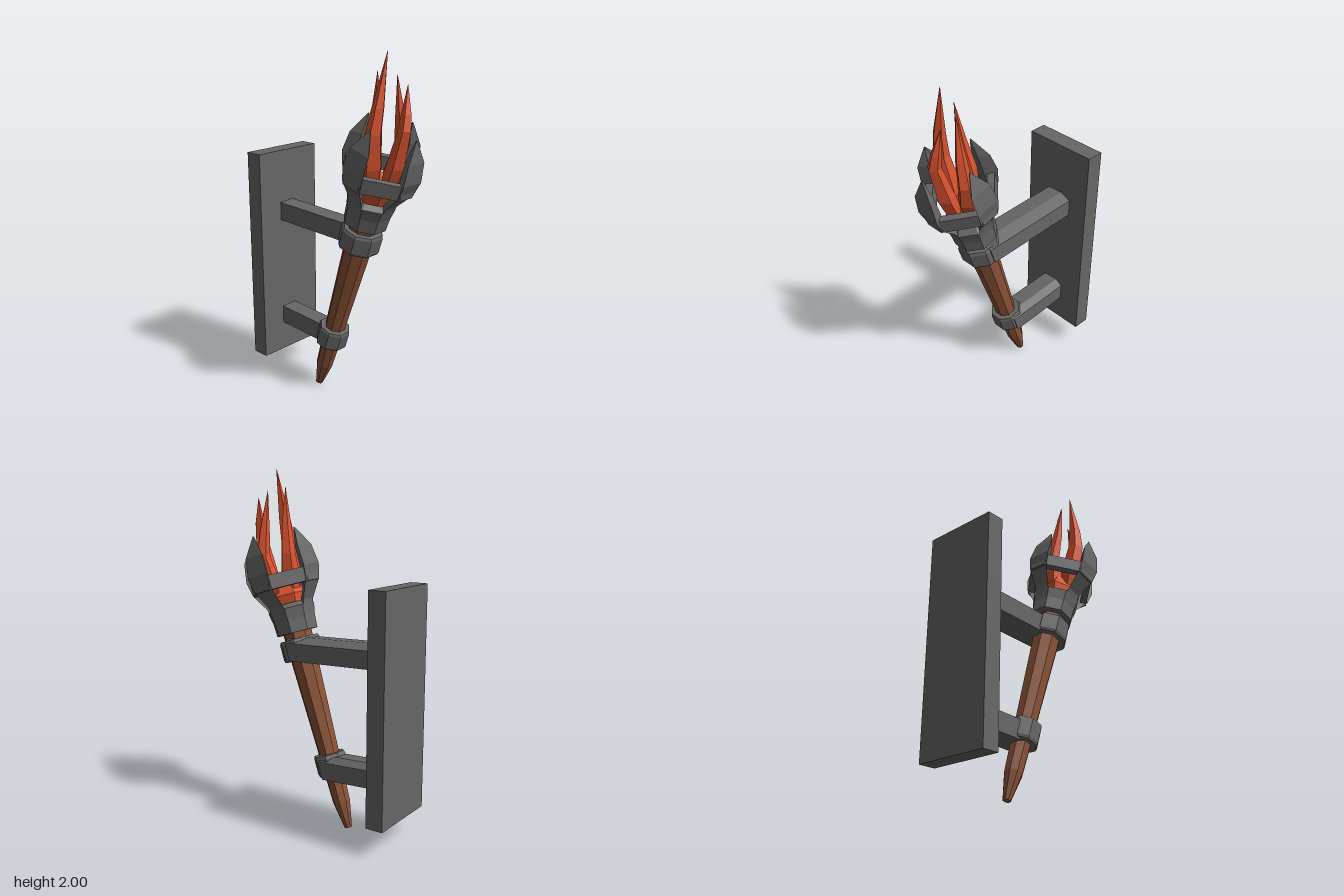
import * as THREE from 'three';

const material = (color) => new THREE.MeshStandardMaterial({ color, flatShading: true, side: THREE.DoubleSide });
const iron = material(0x666666);
const wood = material(0x8a5236);
const fire = material(0xd9522f);

function part(name, geometry, mat, parent) {
  const mesh = new THREE.Mesh(geometry, mat);
  mesh.name = name;
  parent.add(mesh);
  return mesh;
}

// Skin a row of equal-length cross-sections (counterclockwise along the path) and cap both ends
function loft(sections) {
  const n = sections[0].length, pos = [];
  const tri = (...pts) => pts.forEach((p) => pos.push(...p));
  for (let i = 0; i < sections.length - 1; i++) {
    const a = sections[i], b = sections[i + 1];
    for (let j = 0; j < n; j++) {
      const k = (j + 1) % n;
      tri(a[j], a[k], b[k]);
      tri(a[j], b[k], b[j]);
    }
  }
  const first = sections[0], last = sections[sections.length - 1];
  for (let j = 1; j < n - 1; j++) {
    tri(first[0], first[j + 1], first[j]);
    tri(last[0], last[j], last[j + 1]);
  }
  const g = new THREE.BufferGeometry();
  g.setAttribute('position', new THREE.Float32BufferAttribute(pos, 3));
  g.computeVertexNormals();
  return g;
}

// Eight-sided turned solid with flats facing the axes; profile holds [flat radius, height]
function octagonal(profile) {
  const k = 1 / Math.cos(Math.PI / 8);
  return new THREE.LatheGeometry(profile.map(([r, y]) => new THREE.Vector2(r * k, y)), 8, Math.PI / 8);
}

// Five-sided tongue of fire; path holds [x, y, z, radius]
function flame(path, turn) {
  return loft(path.map(([x, y, z, r]) => Array.from({ length: 5 }, (_, j) => {
    const a = turn + (j / 5) * Math.PI * 2;
    return [x + r * Math.cos(a), y, z - r * Math.sin(a)];
  })));
}

// Square cage band with its corners cut off
function cageOutline(target, flat, half) {
  target.setFromPoints([[1, 0], [0, 1], [-1, 0], [0, -1]].flatMap(([c, s]) =>
    [-half, half].map((h) => new THREE.Vector2(c * flat - s * h, s * flat + c * h))));
  return target;
}

export function createModel() {
  const model = new THREE.Group();
  model.name = 'wallTorch';

  // Wall plate
  const plate = part('wallPlate', new THREE.BoxGeometry(0.1, 1.245, 0.43), iron, model);
  plate.position.set(-0.48, 0.777, -0.01);

  // Torch, leaning away from the wall
  const tilt = THREE.MathUtils.degToRad(18);
  const torch = new THREE.Group();
  torch.name = 'torch';
  torch.position.set(-0.168, 0.006, 0.012);
  torch.rotation.z = -tilt;
  model.add(torch);

  part('shaft', octagonal([[0, 0], [0.02, 0], [0.046, 0.15], [0.08, 1.2], [0, 1.2]]), wood, torch);

  // Clamps and the arms that hold them
  const clamps = [
    { name: 'lower', s: 0.375, r: 0.086, y: 0.378, back: -0.082 },
    { name: 'upper', s: 1.05, r: 0.11, y: 1.035, back: -0.105 },
  ];
  for (const { name, s, r, y, back } of clamps) {
    part(name + 'Clamp', octagonal([
      [0, s - 0.06], [r * 0.94, s - 0.06], [r, s - 0.045], [r, s + 0.045], [r * 0.94, s + 0.06], [0, s + 0.06],
    ]), iron, torch);
    const section = [[0.055, 0.058], [0.055, -0.048], [back, -0.064], [back, 0.035], [-0.04, 0.064]];
    const endX = -0.168 + s * Math.sin(tilt) + 0.02;
    part(name + 'Arm', loft([
      section.map(([z, h]) => [-0.44, y + h, z]),
      section.map(([z, h]) => [endX + h * Math.tan(tilt), y + h - 0.02, z]),
    ]), iron, model);
  }

  // Cup
  part('cup', octagonal([
    [0.07, 1.145], [0.112, 1.145], [0.116, 1.22], [0.128, 1.285], [0.1, 1.31], [0.08, 1.27], [0, 1.27],
  ]), iron, torch);

  // Four prongs: [height, outer distance, inner distance, half width]
  const prong = [
    [1.24, 0.115, 0.08, 0.045],
    [1.31, 0.135, 0.095, 0.046],
    [1.41, 0.2, 0.155, 0.062],
    [1.49, 0.216, 0.155, 0.07],
    [1.6, 0.203, 0.155, 0.062],
    [1.71, 0.166, 0.16, 0.003],
  ];
  const prongGeometry = loft(prong.map(([y, out, inn, w]) =>
    [[out, y, w], [out, y, -w], [inn, y, -w * 0.4], [inn, y, w * 0.4]]));
  for (let i = 0; i < 4; i++) {
    part('prong' + (i + 1), prongGeometry, iron, torch).rotation.y = (i * Math.PI) / 2;
  }

  // Band joining the prongs
  const outline = cageOutline(new THREE.Shape(), 0.205, 0.05);
  outline.holes.push(cageOutline(new THREE.Path(), 0.165, 0.035));
  const band = new THREE.ExtrudeGeometry(outline, { depth: 0.08, bevelEnabled: false });
  band.rotateX(-Math.PI / 2);
  part('cageBand', band, iron, torch).position.y = 1.4;

  // Glowing core and tongues of fire
  part('flameCore', new THREE.LatheGeometry([[0, 1.22], [0.075, 1.26], [0.105, 1.36], [0.07, 1.43], [0, 1.46]]
    .map(([r, y]) => new THREE.Vector2(r, y)), 6), fire, torch);
  const tongues = {
    frontFlame: [[0.27, 1.28, 0.06, 0.04], [0.29, 1.42, 0.085, 0.06], [0.32, 1.6, 0.105, 0.045],
      [0.335, 1.73, 0.09, 0.034], [0.35, 2.0, 0.045, 0.001]],
    leftwardFlame: [[0.22, 1.26, 0.01, 0.045], [0.23, 1.42, 0.005, 0.055], [0.235, 1.54, -0.005, 0.042],
      [0.262, 1.7, 0.015, 0.028], [0.28, 1.9, 0.035, 0.001]],
    rightwardFlame: [[0.32, 1.28, 0.0, 0.045], [0.38, 1.42, 0.005, 0.052], [0.44, 1.62, 0.01, 0.036],
      [0.436, 1.7, -0.005, 0.028], [0.42, 1.84, -0.03, 0.001]],
    backFlame: [[0.27, 1.28, -0.045, 0.04], [0.31, 1.4, -0.075, 0.052], [0.34, 1.52, -0.095, 0.04],
      [0.345, 1.66, -0.075, 0.03], [0.34, 1.88, -0.045, 0.001]],
  };
  Object.entries(tongues).forEach(([name, path], i) => part(name, flame(path, i * 1.3), fire, model));

  return model;
}
